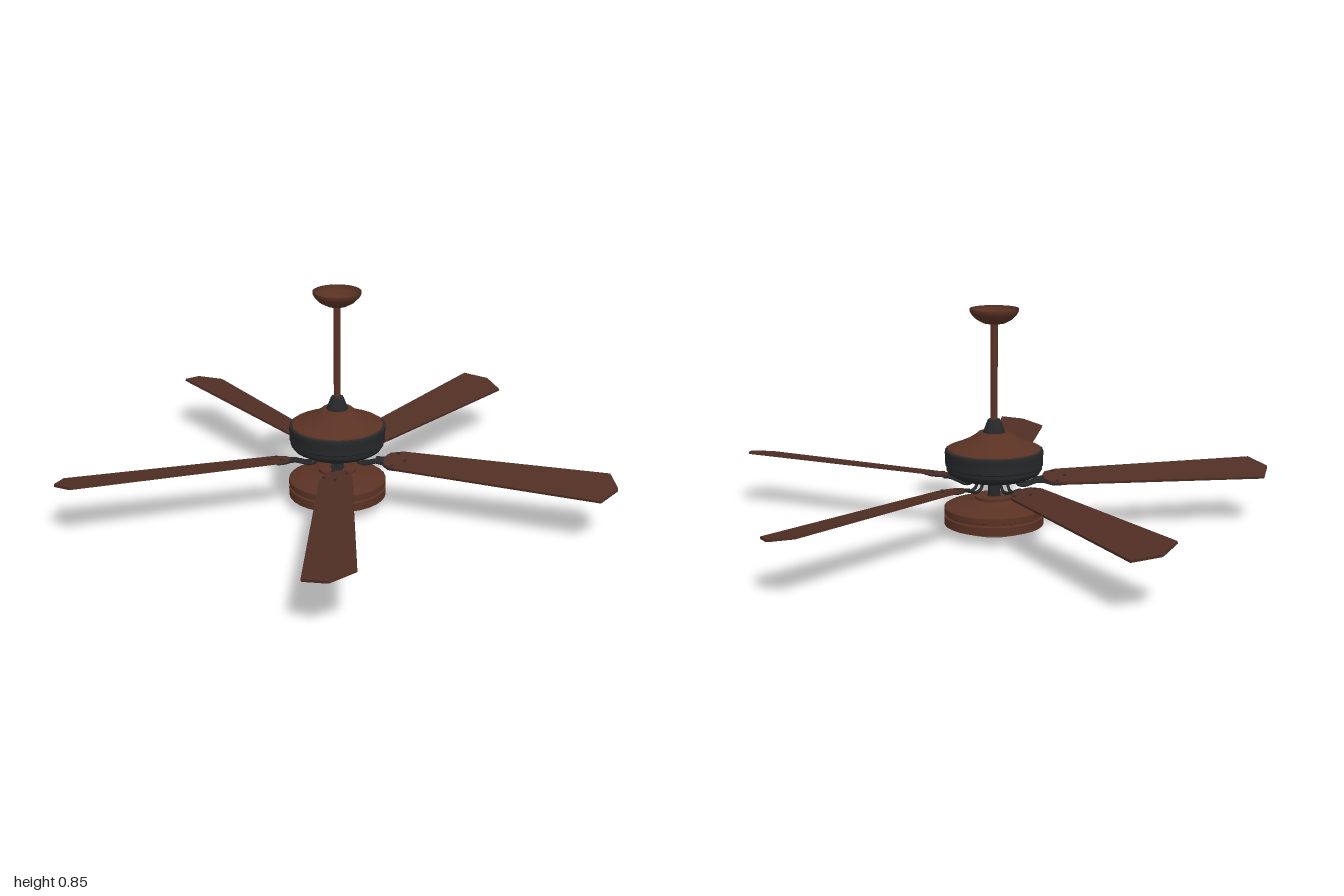
import * as THREE from 'three';
import { toCreasedNormals } from 'three/addons/utils/BufferGeometryUtils.js';

const mat = (name, color, side = THREE.FrontSide) => {
  const m = new THREE.MeshStandardMaterial({ color, side });
  m.name = name;
  return m;
};

export function createModel() {
  const wood = mat('blade wood', 0x502e24);
  const bronze = mat('brown bronze', 0x5a3224, THREE.DoubleSide);
  const iron = mat('dark iron', 0x26282a);
  const glass = mat('cream glass', 0xa8917a);

  const fan = new THREE.Group();
  fan.name = 'ceilingFan';

  const add = (parent, name, geometry, material) => {
    const mesh = new THREE.Mesh(geometry, material);
    mesh.name = name;
    parent.add(mesh);
    return mesh;
  };

  // Turned part; profile runs from bottom to top as [radius, height]
  const turned = (name, profile, material) => {
    const points = profile.map(([r, y]) => new THREE.Vector2(r, y));
    return add(fan, name, toCreasedNormals(new THREE.LatheGeometry(points, 28), 0.6), material);
  };

  // Ceiling cup, open at the top, and hanging rod
  turned('canopy', [[0.012, 0.788], [0.04, 0.792], [0.066, 0.806], [0.084, 0.825], [0.09, 0.836], [0.09, 0.845]], bronze);
  turned('hangerBall', [[0.025, 0.793], [0.025, 0.805], [0.015, 0.815], [0, 0.817]], iron);
  turned('downrod', [[0.013, 0.42], [0.013, 0.8]], bronze);
  turned('coupler', [[0.043, 0.37], [0.042, 0.385], [0.026, 0.428], [0.022, 0.436], [0, 0.436]], iron);

  // Motor
  turned('motorCover', [[0.176, 0.318], [0.172, 0.328], [0.14, 0.34], [0.1, 0.358], [0.07, 0.377], [0.058, 0.388], [0.03, 0.388]], bronze);
  turned('motorDrum', [[0, 0.212], [0.09, 0.212], [0.1, 0.222], [0.142, 0.222], [0.168, 0.236], [0.177, 0.25],
    [0.177, 0.262], [0.181, 0.266], [0.181, 0.302], [0.183, 0.308], [0.181, 0.322], [0.168, 0.327]], iron);
  turned('lowerStem', [[0.04, 0.14], [0.023, 0.15], [0.023, 0.19], [0.045, 0.2], [0.045, 0.215]], iron);

  // Light kit
  turned('lightHousing', [[0.165, 0.042], [0.185, 0.042], [0.185, 0.074], [0.178, 0.077], [0.178, 0.083],
    [0.185, 0.086], [0.185, 0.106], [0.175, 0.112], [0.12, 0.122], [0.08, 0.132], [0.071, 0.138], [0.071, 0.148], [0, 0.148]], bronze);
  turned('lens', [[0, 0], [0.05, 0.004], [0.1, 0.013], [0.14, 0.026], [0.172, 0.044]], glass);

  // Outline in the plan of a blade, extruded to a flat board centred on its height
  const board = (outline, thickness) => {
    const shape = new THREE.Shape(outline.map(([u, v]) => new THREE.Vector2(u, v)));
    const geometry = new THREE.ExtrudeGeometry(shape, { depth: thickness, bevelEnabled: false });
    return geometry.translate(0, 0, -thickness / 2).rotateX(-Math.PI / 2);
  };
  const mirrored = half => [...half, ...half.slice().reverse().map(([u, v]) => [u, -v])];
  const bladeGeometry = board(mirrored([[0.188, -0.02], [0.2, -0.042], [0.245, -0.061], [1.022, -0.091], [1.066, -0.004]]), 0.009);
  const plateGeometry = board(mirrored([[0.15, -0.02], [0.185, -0.026], [0.215, -0.052], [0.245, -0.054], [0.25, -0.03], [0.285, -0.012]]), 0.006);
  const screwGeometry = new THREE.CylinderGeometry(0.005, 0.006, 0.004, 8);

  // Curved arm from the motor underside to the blade
  const armPath = new THREE.CatmullRomCurve3([[0.075, 0.214], [0.085, 0.19], [0.11, 0.182], [0.14, 0.19], [0.17, 0.199], [0.2, 0.199]]
    .map(([x, y]) => new THREE.Vector3(x, y, 0)));
  const armGeometry = new THREE.TubeGeometry(armPath, 16, 0.006, 6);

  // Five blades, each tilted about its own length
  for (let i = 0; i < 5; i++) {
    const unit = new THREE.Group();
    unit.name = 'bladeUnit';
    unit.rotation.y = -THREE.MathUtils.degToRad(9.2 + 72 * i);
    fan.add(unit);

    for (const z of [-0.014, 0.014]) add(unit, 'bladeArm', armGeometry, iron).position.z = z;

    const tilted = new THREE.Group();
    tilted.name = 'tiltedBlade';
    tilted.position.y = 0.206;
    tilted.rotation.x = 0.2;
    unit.add(tilted);
    add(tilted, 'blade', bladeGeometry, wood);
    add(tilted, 'bladePlate', plateGeometry, iron).position.y = -0.0076;
    for (const [x, z] of [[0.23, -0.042], [0.23, 0.042], [0.268, 0]])
      add(tilted, 'screw', screwGeometry, iron).position.set(x, 0.006, z);
  }

  // The blades reach unevenly, so the hub sits off the middle
  fan.position.set(-0.053, 0, -0.055);
  const model = new THREE.Group();
  model.name = 'model';
  model.add(fan);
  return model;
}
